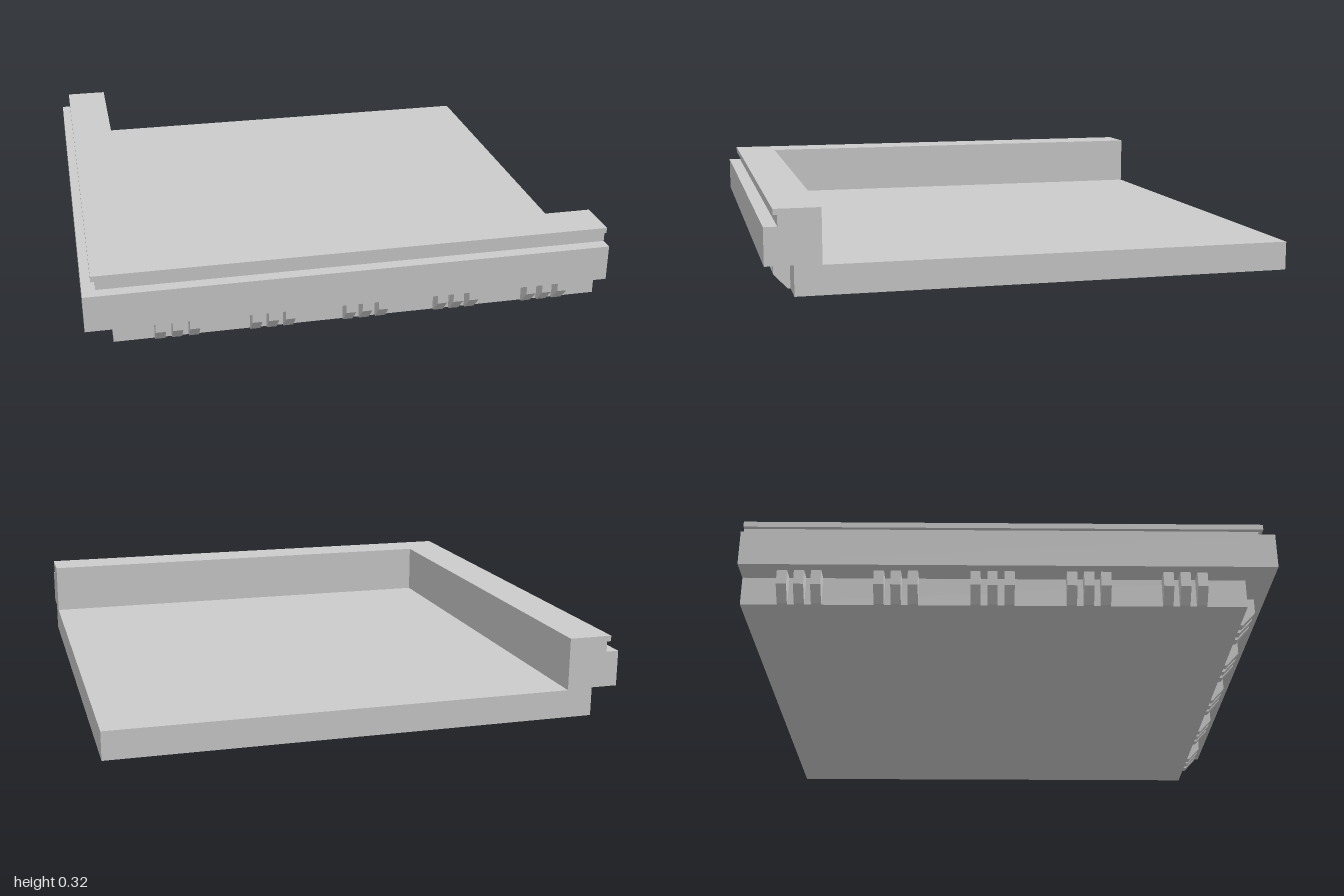
import * as THREE from 'three';

const material = new THREE.MeshStandardMaterial({ color: 0xcccccc, flatShading: true });

// Extrudes an (outward, height) section, placing each point by
// place(outward, t), which returns [x, z] for t from 0 to 1 along the run.
function sweep(name, section, steps, place) {
  const shape = new THREE.Shape(section.map(([o, y]) => new THREE.Vector2(o, y)));
  const geometry = new THREE.ExtrudeGeometry(shape, { depth: 1, steps, bevelEnabled: false });
  const p = geometry.attributes.position;
  for (let i = 0; i < p.count; i++) {
    const [x, z] = place(p.getX(i), p.getZ(i));
    p.setX(i, x);
    p.setZ(i, z);
  }
  geometry.computeVertexNormals();
  const mesh = new THREE.Mesh(geometry, material);
  mesh.name = name;
  return mesh;
}

export function createModel() {
  const model = new THREE.Group();
  model.name = 'roofCorner';

  // Flat roof slab
  const slab = new THREE.Mesh(new THREE.BoxGeometry(1.896, 0.11, 1.896), material);
  slab.position.set(0.052, 0.055, -0.052);
  slab.name = 'roofSlab';
  model.add(slab);

  // L-shaped parapet with overhanging cornice, groove and coping lip:
  // along the front, round the mitred corner, then along the right side
  const parapet = [
    [0.795, 0.11], [0.896, 0.11], [0.896, 0.113], [1, 0.113], [1, 0.253],
    [0.95, 0.253], [0.95, 0.294], [0.966, 0.294], [0.966, 0.316], [0.795, 0.316],
  ];
  model.add(sweep('parapet', parapet, 2, (o, t) => {
    if (t < 0.25) return [1, o];
    if (t < 0.75) return [-o, o];
    return [-o, -1];
  }));

  // Five groups of three corbels with sloping feet under each cornice
  const corbel = [[0.89, 0], [0.906, 0], [0.957, 0.055], [0.957, 0.113], [0.89, 0.113]];
  const width = 0.038;
  const frontCorbels = new THREE.Group();
  frontCorbels.name = 'frontCorbels';
  const rightCorbels = new THREE.Group();
  rightCorbels.name = 'rightCorbels';
  for (let g = 0; g < 5; g++) {
    for (let k = -1; k <= 1; k++) {
      const c = -0.661 + g * 0.36 + k * 0.0635;
      frontCorbels.add(sweep('corbel', corbel, 1, (o, t) => [c + (0.5 - t) * width, o]));
      rightCorbels.add(sweep('corbel', corbel, 1, (o, t) => [-o, -c + (0.5 - t) * width]));
    }
  }
  model.add(frontCorbels, rightCorbels);
  return model;
}
